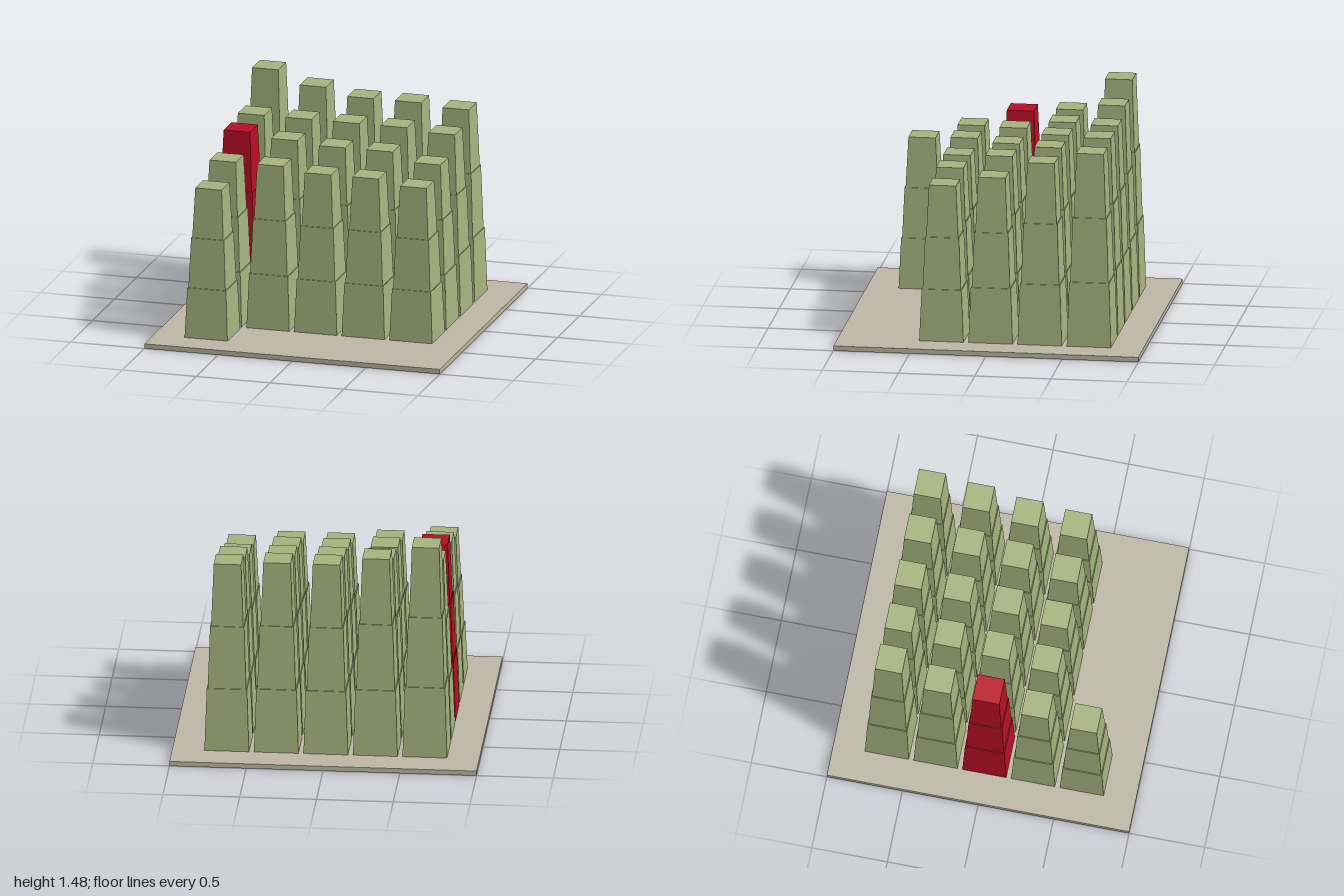
import * as THREE from 'three';

const PLATE = 0.032;   // plate thickness
const PITCH = 0.3225;  // spacing between tower centres

// Tower top heights: rows run back to front, columns from -x to +x
const HEIGHTS = [
  [1.475, 1.385, 1.335, 1.335, 1.315],
  [1.26, 1.26, 1.26, 1.26, 1.24],
  [1.24, 1.21, 1.19, 1.19, 1.13],
  [1.13, 1.13, 1.1, 1.1, 1.065],
  [1.035],
];

// Half widths at the bottom and top of each stacked tier
const TIERS = [[0.145, 0.131], [0.125, 0.111], [0.105, 0.089]];

// Square frustum standing on y = 0
function frustum(bottom, top, height) {
  const g = new THREE.CylinderGeometry(top * Math.SQRT2, bottom * Math.SQRT2, height, 4);
  g.rotateY(Math.PI / 4);
  g.translate(0, height / 2, 0);
  return g;
}

function makeTower(topY, material) {
  const tower = new THREE.Group();
  const tierHeight = (topY - PLATE) / TIERS.length;
  TIERS.forEach(([bottom, top], i) => {
    const tier = new THREE.Mesh(frustum(bottom, top, tierHeight), material);
    tier.name = `tier${i + 1}`;
    tier.position.y = PLATE + i * tierHeight;
    tower.add(tier);
  });
  return tower;
}

export function createModel() {
  const material = (name, color) =>
    new THREE.MeshStandardMaterial({ name, color, flatShading: true });
  const green = material('sage green', 0xa6b57f);
  const red = material('crimson', 0xba0e24);
  const stone = material('stone beige', 0xbfb8a6);

  const model = new THREE.Group();
  model.name = 'towerGrid';

  // Ground plate
  const plate = new THREE.Mesh(new THREE.BoxGeometry(2, PLATE, 2), stone);
  plate.name = 'basePlate';
  plate.position.y = PLATE / 2;
  model.add(plate);

  // Towers, with one highlighted in red
  HEIGHTS.forEach((row, r) => row.forEach((topY, c) => {
    const highlighted = r === 2 && c === 0;
    const tower = makeTower(topY, highlighted ? red : green);
    tower.name = highlighted ? 'highlightedTower' : `tower_row${r + 1}_column${c + 1}`;
    tower.position.set((c - 2) * PITCH, 0, (r - 2) * PITCH);
    model.add(tower);
  }));

  return model;
}
